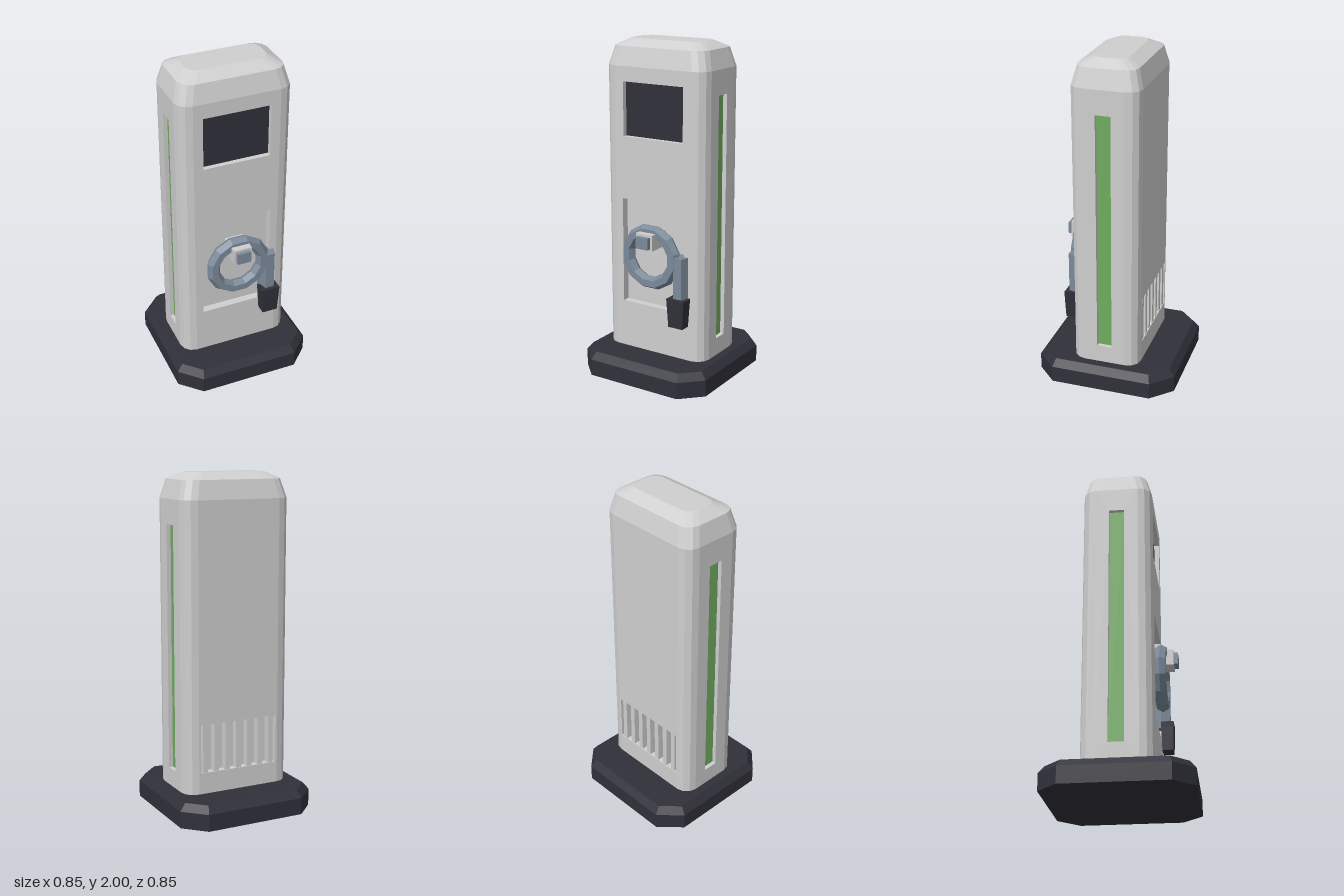
import * as THREE from 'three';

const mat = (name, color) => {
  const m = new THREE.MeshStandardMaterial({ color });
  m.name = name;
  m.flatShading = true;
  return m;
};

// Arc of n + 1 points around a corner centre, for quadrant q, as [x, z]
const arc = (q, cx, cz, r, n) => Array.from({ length: n + 1 }, (_, j) => {
  const a = (q + j / (n || 1)) * Math.PI / 2;
  return [cx + r * Math.cos(a), cz + r * Math.sin(a)];
});
const SIGNS = [[1, 1], [-1, 1], [-1, -1], [1, -1]];

// Rectangle outline (half sizes w, d) with corners of radius r in n facets
const rect = (w, d, r = 0, n = 0) =>
  SIGNS.flatMap(([sx, sz], q) => arc(q, sx * (w - r), sz * (d - r), r, n));

// Closed solid through outlines stacked in y: levels = [[y, outline], ...]
function loft(levels) {
  const pos = [];
  const put = (y, p) => pos.push(p[0], y, p[1]);
  const n = levels[0][1].length;
  for (let k = 0; k < levels.length - 1; k++) {
    const [y0, a] = levels[k], [y1, b] = levels[k + 1];
    for (let i = 0; i < n; i++) {
      const j = (i + 1) % n;
      put(y0, a[i]); put(y1, b[i]); put(y0, a[j]);
      put(y0, a[j]); put(y1, b[i]); put(y1, b[j]);
    }
  }
  const [yb, bot] = levels[0], [yt, top] = levels[levels.length - 1];
  for (let i = 1; i < n - 1; i++) {
    put(yb, bot[0]); put(yb, bot[i]); put(yb, bot[i + 1]);
    put(yt, top[0]); put(yt, top[i + 1]); put(yt, top[i]);
  }
  const g = new THREE.BufferGeometry();
  g.setAttribute('position', new THREE.Float32BufferAttribute(pos, 3));
  g.computeVertexNormals();
  return g;
}

// Wall panel with rectangular openings [halfWidth, yLow, yHigh]
function panel(halfWidth, y0, y1, depth, openings) {
  const trace = (p, w, a, b) => p.moveTo(-w, a).lineTo(w, a).lineTo(w, b).lineTo(-w, b).closePath();
  const s = new THREE.Shape();
  trace(s, halfWidth, y0, y1);
  for (const o of openings) {
    const h = new THREE.Path();
    trace(h, ...o);
    s.holes.push(h);
  }
  return new THREE.ExtrudeGeometry(s, { depth, bevelEnabled: false });
}

export function createModel() {
  const group = new THREE.Group();
  group.name = 'chargingStation';
  const shell = mat('shellGrey', 0xcfcfcf);
  const dark = mat('darkPlastic', 0x30303a);
  const steel = mat('blueGrey', 0x7c8a9a);
  const green = mat('lightGreen', 0x70ad60);

  const add = (name, geo, m, x = 0, y = 0, z = 0, ry = 0) => {
    const mesh = new THREE.Mesh(geo, m);
    mesh.name = name;
    mesh.position.set(x, y, z);
    mesh.rotation.y = ry;
    group.add(mesh);
    return mesh;
  };
  const box = (name, m, w, h, d, x, y, z) => add(name, new THREE.BoxGeometry(w, h, d), m, x, y, z);

  // Base plinth
  add('base', loft([
    [0, rect(0.427, 0.427, 0.122, 1)],
    [0.1, rect(0.427, 0.427, 0.122, 1)],
    [0.143, rect(0.392, 0.392, 0.1, 1)],
  ]), dark);

  // Body: core, four walls with recesses, and faceted corner columns
  const W = 0.34, D = 0.206, R = 0.08, Y0 = 0.13, Y1 = 1.85;
  const cw = W - R, cd = D - R, sideDepth = 0.03, faceDepth = 0.046;
  box('bodyCore', shell, 2 * (W - sideDepth), Y1 - Y0, 2 * (D - faceDepth), 0, (Y0 + Y1) / 2, 0);
  add('frontWall', panel(cw, Y0, Y1, faceDepth, [[0.203, 1.443, 1.762], [0.214, 0.43, 1.07]]),
    shell, 0, 0, D - faceDepth);
  add('backWall', panel(cw, Y0, Y1, faceDepth, [[0.247, 0.27, 0.56]]),
    shell, 0, 0, -(D - faceDepth), Math.PI);
  for (const s of [1, -1]) {
    add('sideWall', panel(cd, Y0, Y1, sideDepth, [[0.045, 0.25, 1.705]]),
      shell, s * (W - sideDepth), 0, 0, s * Math.PI / 2);
    box('lightStrip', green, 0.006, 1.455, 0.09, s * (W - sideDepth + 0.002), 0.9775, 0);
  }
  SIGNS.forEach(([sx, sz], q) => {
    const c = [sx * cw, sz * cd];
    const pie = [c, ...arc(q, c[0], c[1], R, 3)];
    add('cornerColumn', loft([[Y0, pie], [Y1, pie]]), shell);
  });

  // Tapered top
  add('topCap', loft([
    [Y1, rect(W, D, R, 3)],
    [1.96, rect(0.31, 0.177, 0.075, 3)],
    [2, rect(0.238, 0.1, 0.06, 3)],
  ]), shell);

  // Recessed screen
  box('screen', dark, 0.406, 0.319, 0.008, 0, 1.6025, D - 0.034);

  // Vent slats
  for (let i = 0; i < 7; i++) {
    box('ventSlat', shell, 0.032, 0.29, 0.042, (i - 3) * 0.072, 0.415, -(D - 0.025));
  }

  // Coiled cable and its hook
  const coil = new THREE.TorusGeometry(0.16, 0.04, 6, 12);
  coil.rotateZ(Math.PI / 12);
  add('cableCoil', coil, steel, 0, 0.75, 0.228);
  box('hookArm', shell, 0.112, 0.095, 0.15, 0, 0.858, 0.227);
  box('hookTip', steel, 0.084, 0.07, 0.03, 0, 0.856, 0.311);

  // Connector stem and grip
  const stem = [[0.245, 0.17], [0.242, 0.205], [0.228, 0.258], [0.172, 0.258], [0.158, 0.205], [0.155, 0.17]];
  add('connectorStem', loft([[0.5, stem], [0.78, stem]]), steel);
  add('connectorGrip', loft([
    [0.36, rect(0.048, 0.032)],
    [0.5, rect(0.056, 0.037)],
    [0.533, rect(0.059, 0.037)],
  ]), dark, 0.198, 0, 0.243);

  return group;
}
